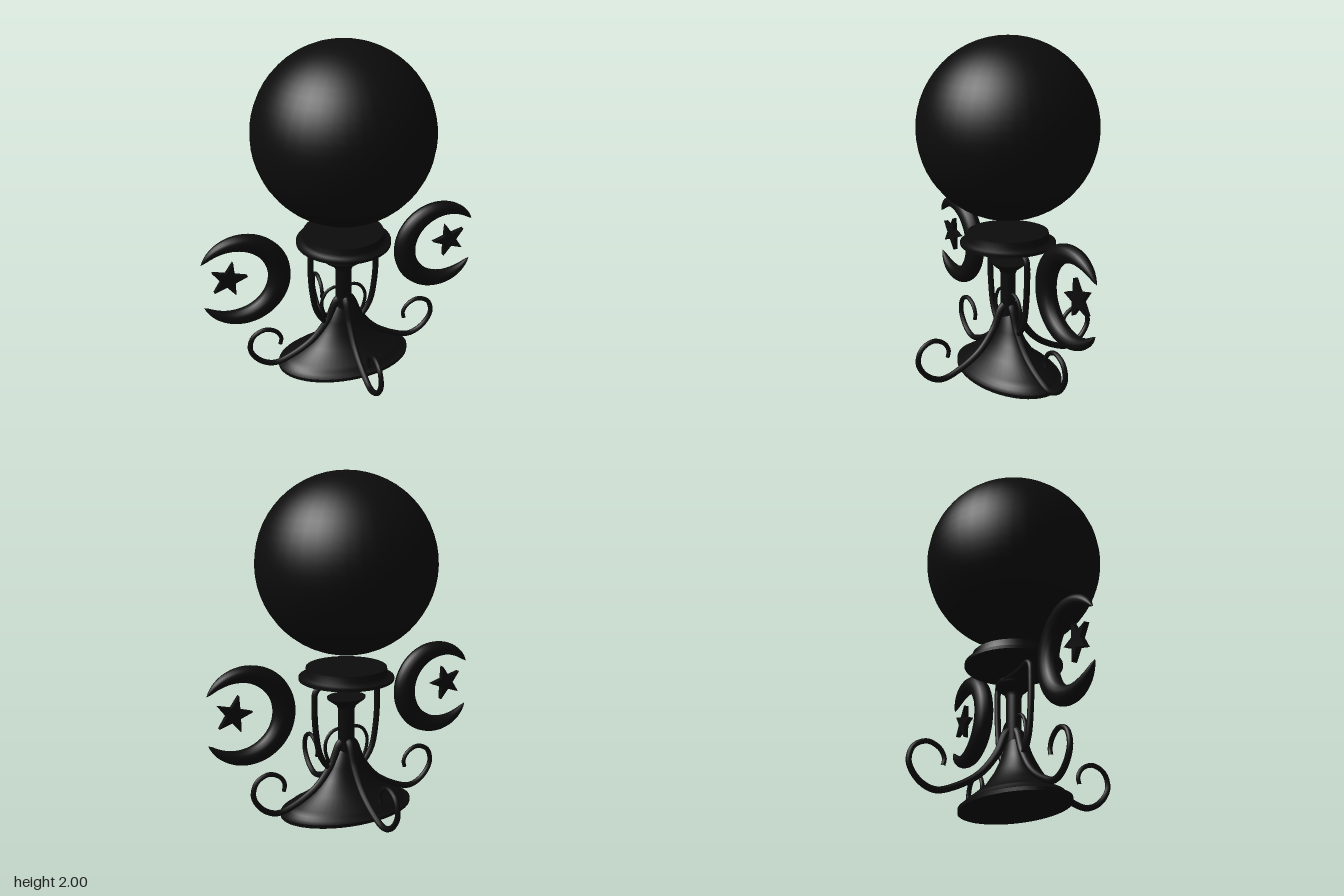
import * as THREE from 'three';

const material = new THREE.MeshStandardMaterial({ color: 0x0c0c0c });

function add(parent, name, geometry) {
  const mesh = new THREE.Mesh(geometry, material);
  mesh.name = name;
  parent.add(mesh);
  return mesh;
}

// Turned part from [radius, y] pairs
function turned(profile, segments = 48) {
  return new THREE.LatheGeometry(profile.map(([r, y]) => new THREE.Vector2(r, y)), segments);
}

// Round wire in the xy plane, tapering from r0 to r1
function wire(points, r0, r1 = r0, segments = 64) {
  const curve = new THREE.CatmullRomCurve3(points.map(([x, y]) => new THREE.Vector3(x, y, 0)));
  const sides = 10;
  const geometry = new THREE.TubeGeometry(curve, segments, 1, sides);
  const pos = geometry.attributes.position;
  const v = new THREE.Vector3();
  for (let i = 0; i <= segments; i++) {
    const centre = curve.getPointAt(i / segments);
    const r = THREE.MathUtils.lerp(r0, r1, i / segments);
    for (let j = 0; j <= sides; j++) {
      const k = i * (sides + 1) + j;
      v.fromBufferAttribute(pos, k).sub(centre).multiplyScalar(r).add(centre);
      pos.setXYZ(k, v.x, v.y, v.z);
    }
  }
  return geometry;
}

// Crescent opening towards +x, lofted from elliptical sections that shrink at the horns
function crescentGeometry() {
  const steps = 64, sides = 16, horn = THREE.MathUtils.degToRad(31);
  const positions = [], index = [];
  for (let i = 0; i <= steps; i++) {
    const t = (i / steps) * 2 - 1;
    const s = Math.abs(t);
    const angle = Math.PI + t * (Math.PI - horn);
    const outer = 0.288 - 0.018 * s ** 8;
    const half = 0.0675 * (1 - s * s) ** 0.7;
    const depth = 0.055 * (1 - s ** 4) ** 0.8;
    for (let j = 0; j <= sides; j++) {
      const b = (j / sides) * Math.PI * 2;
      const r = outer - half + half * Math.cos(b);
      positions.push(r * Math.cos(angle), r * Math.sin(angle), depth * Math.sin(b));
      if (i < steps && j < sides) {
        const a = i * (sides + 1) + j, c = a + sides + 1;
        index.push(a, c, a + 1, c, c + 1, a + 1);
      }
    }
  }
  const geometry = new THREE.BufferGeometry();
  geometry.setAttribute('position', new THREE.Float32BufferAttribute(positions, 3));
  geometry.setIndex(index);
  geometry.computeVertexNormals();
  return geometry;
}

function starGeometry() {
  const shape = new THREE.Shape();
  for (let i = 0; i < 10; i++) {
    const a = (i / 10) * Math.PI * 2 + Math.PI - 0.035;
    const r = i % 2 ? 0.045 : 0.111;
    shape[i ? 'lineTo' : 'moveTo'](r * Math.cos(a), r * Math.sin(a));
  }
  shape.closePath();
  return new THREE.ExtrudeGeometry(shape, { depth: 0.03, bevelEnabled: false }).translate(0, 0, -0.015);
}

export function createModel() {
  const model = new THREE.Group();
  model.name = 'crystalBallStand';

  // Ball
  add(model, 'ball', new THREE.SphereGeometry(0.52, 40, 28)).position.y = 1.48;

  // Round holder under the ball
  add(model, 'holder', turned([
    [0, 0.805], [0.28, 0.805], [0.28, 0.805], [0.28, 0.822], [0.28, 0.822], [0.25, 0.826],
    [0.241, 0.845], [0.237, 0.88], [0.237, 0.88], [0, 0.88],
  ]));

  // Oval foot, wider along x
  add(model, 'base', turned([
    [0, 0], [0.27, 0], [0.27, 0], [0.27, 0.02], [0.27, 0.02], [0.245, 0.03], [0.238, 0.05],
    [0.215, 0.065], [0.14, 0.13], [0.095, 0.2], [0.065, 0.27], [0.04, 0.36], [0, 0.42],
  ])).scale.x = 1.55;

  // Central post with a flared cap
  add(model, 'post', turned([
    [0, 0.15], [0.05, 0.15], [0.05, 0.62], [0.06, 0.645], [0.115, 0.685],
    [0.118, 0.696], [0.118, 0.696], [0, 0.696],
  ], 32)).scale.z = 0.85;

  // Wire frame between the post and the holder
  const frameSide = [
    [0.1, 0.766], [0.16, 0.778], [0.2, 0.75], [0.208, 0.68], [0.2, 0.5], [0.17, 0.35], [0.11, 0.265], [0.03, 0.22],
  ];
  const mirrored = frameSide.map(([x, y]) => [-x, y]).reverse();
  add(model, 'wireFrame', wire([...mirrored, [0, 0.764], ...frameSide], 0.018, 0.018, 120));

  // Four scrolled legs
  const leg = wire([
    [0, 0.44], [0.045, 0.41], [0.1, 0.29], [0.2, 0.165], [0.34, 0.08], [0.45, 0.05], [0.54, 0.09],
    [0.597, 0.18], [0.575, 0.265], [0.5, 0.3], [0.43, 0.27], [0.403, 0.22], [0.41, 0.18],
  ], 0.024, 0.012, 90);
  for (let i = 0; i < 4; i++) add(model, 'scrollLeg', leg).rotation.y = (i * Math.PI) / 2;

  // Small curls beside the post, and the crescents with their stars
  const curl = wire([
    [0.01, 0.46], [0.05, 0.503], [0.105, 0.485], [0.14, 0.42], [0.13, 0.34], [0.095, 0.28], [0.04, 0.23],
  ], 0.01);
  const crescent = crescentGeometry();
  const star = starGeometry();
  for (const turn of [0, Math.PI]) {
    const side = new THREE.Group();
    side.name = turn ? 'rightOrnament' : 'leftOrnament';
    side.rotation.y = turn;
    add(side, 'curl', curl);
    add(side, 'crescent', crescent).position.set(0.62, 0.672, 0);
    add(side, 'star', star).position.set(0.7, 0.69, 0);
    model.add(side);
  }
  return model;
}
